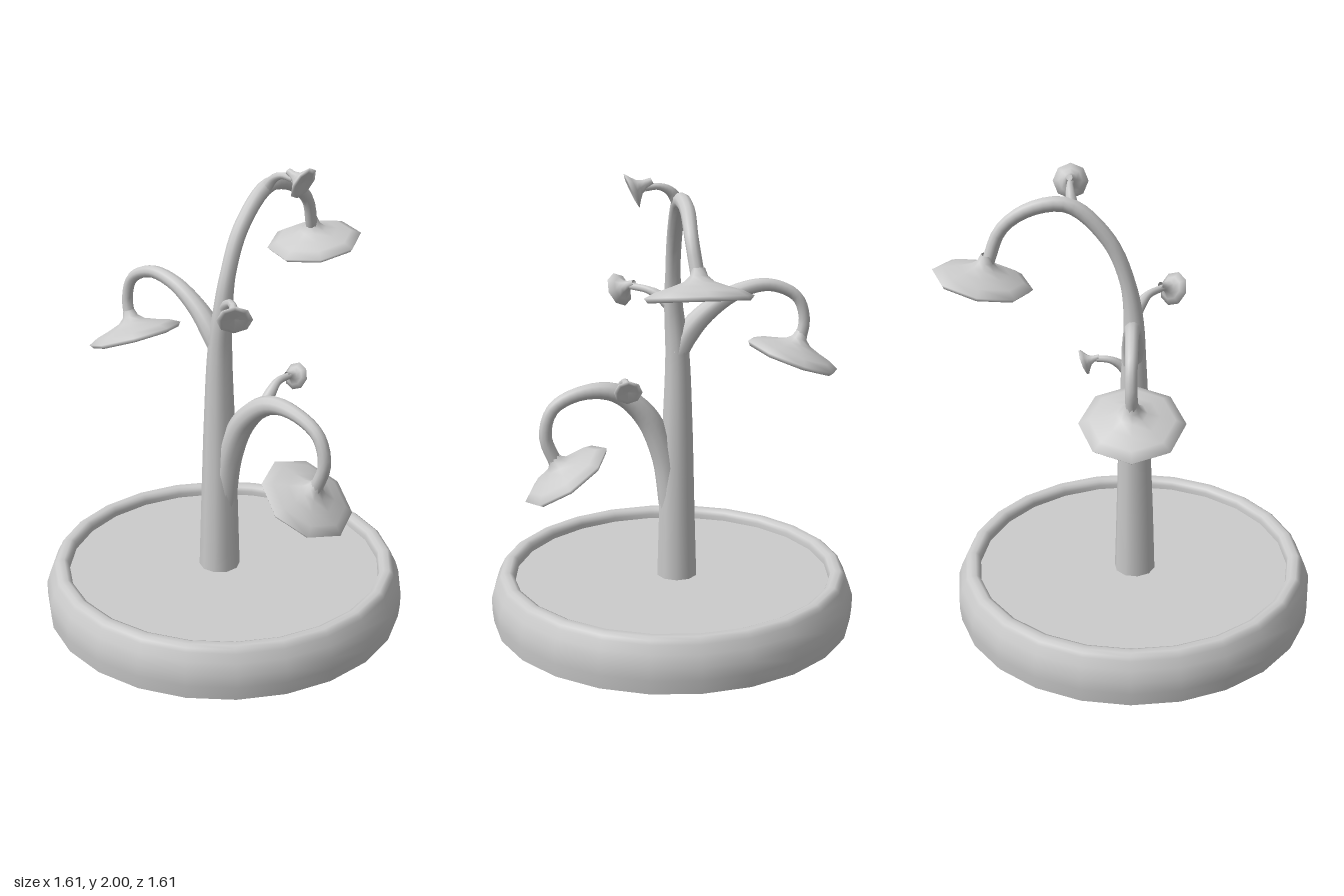
import * as THREE from 'three';

const material = new THREE.MeshStandardMaterial({ color: 0xcccccc, side: THREE.DoubleSide });
const v = (a) => new THREE.Vector3(...a);

function add(parent, name, geometry) {
  const mesh = new THREE.Mesh(geometry, material);
  mesh.name = name;
  parent.add(mesh);
  return mesh;
}

// Tube whose radius follows the listed radii, given as [x, y, z, radius] per point
function taperedTube(points, segments, sides = 10) {
  const curve = new THREE.CatmullRomCurve3(points.map((p) => v(p.slice(0, 3))));
  const geometry = new THREE.TubeGeometry(curve, segments, 1, sides);
  const pos = geometry.attributes.position;
  const p = new THREE.Vector3();
  for (let i = 0; i <= segments; i++) {
    const centre = curve.getPointAt(i / segments);
    const t = curve.getUtoTmapping(i / segments) * (points.length - 1);
    const k = Math.min(Math.floor(t), points.length - 2);
    const radius = THREE.MathUtils.lerp(points[k][3], points[k + 1][3], t - k);
    for (let j = 0; j <= sides; j++) {
      const n = i * (sides + 1) + j;
      p.fromBufferAttribute(pos, n).sub(centre).multiplyScalar(radius).add(centre);
      pos.setXYZ(n, p.x, p.y, p.z);
    }
  }
  return geometry;
}

function lathe(profile, sides) {
  return new THREE.LatheGeometry(profile.map(([r, y]) => new THREE.Vector2(r, y)), sides);
}

// Eight-sided flower; its axis points from the opening towards the stalk
function flower(parent, name, profile, centre, axis, scale = 1) {
  const mesh = add(parent, name, lathe(profile, 8));
  mesh.position.set(...centre);
  mesh.quaternion.setFromUnitVectors(new THREE.Vector3(0, 1, 0), v(axis).normalize());
  mesh.scale.setScalar(scale);
}

export function createModel() {
  const group = new THREE.Group();

  // Round dish with a soft rim and sunken soil
  const pot = new THREE.Group();
  pot.name = 'pot';
  group.add(pot);
  add(pot, 'potWall', lathe([
    [0.8, 0], [0.806, 0.06], [0.806, 0.115], [0.79, 0.165], [0.772, 0.2], [0.765, 0.217],
    [0.75, 0.227], [0.725, 0.227], [0.708, 0.218], [0.702, 0.2], [0.702, 0.175],
  ], 24));
  add(pot, 'potBottom', new THREE.CircleGeometry(0.8, 24).rotateX(Math.PI / 2));
  add(pot, 'soil', new THREE.CircleGeometry(0.704, 24).rotateX(-Math.PI / 2).translate(0, 0.18, 0));

  // Trunk running on into the top arching branch
  add(group, 'trunk', taperedTube([
    [-0.02, 0.17, -0.012, 0.092], [-0.02, 0.5, -0.012, 0.082], [-0.02, 0.85, -0.015, 0.07],
    [-0.018, 1.2, -0.015, 0.054], [-0.005, 1.4, -0.005, 0.042], [0.018, 1.56, -0.018, 0.033],
    [0.075, 1.74, -0.07, 0.033], [0.19, 1.885, -0.18, 0.033], [0.3, 1.87, -0.295, 0.03],
    [0.39, 1.78, -0.38, 0.027], [0.42, 1.64, -0.432, 0.027],
  ], 56));

  // Side branches
  add(group, 'leftBackBranch', taperedTube([
    [-0.01, 1.2, -0.02, 0.045], [-0.05, 1.29, -0.05, 0.05], [-0.11, 1.38, -0.11, 0.042],
    [-0.2, 1.46, -0.2, 0.034], [-0.3, 1.485, -0.3, 0.027], [-0.385, 1.43, -0.385, 0.025],
    [-0.41, 1.33, -0.41, 0.024], [-0.4, 1.23, -0.395, 0.026],
  ], 32));
  add(group, 'frontBranch', taperedTube([
    [-0.005, 0.5, 0.0, 0.06], [0.025, 0.74, 0.025, 0.056], [0.085, 0.93, 0.085, 0.053],
    [0.18, 1.035, 0.175, 0.042], [0.28, 1.035, 0.28, 0.031], [0.365, 0.97, 0.365, 0.028],
    [0.39, 0.85, 0.39, 0.028], [0.358, 0.72, 0.358, 0.03],
  ], 36));

  // Thin twigs holding the buds
  add(group, 'topTwig', taperedTube([
    [0.18, 1.87, -0.17, 0.028], [0.215, 1.925, -0.15, 0.02], [0.25, 1.945, -0.12, 0.014],
    [0.29, 1.94, -0.08, 0.015],
  ], 12, 8));
  add(group, 'middleTwig', taperedTube([
    [0, 1.4, 0, 0.03], [0.01, 1.44, 0.05, 0.025], [0.022, 1.466, 0.11, 0.017],
    [0.025, 1.472, 0.2, 0.015],
  ], 12, 8));
  add(group, 'lowerTwig', taperedTube([
    [0.15, 1.0, 0.15, 0.032], [0.19, 1.07, 0.12, 0.025], [0.225, 1.105, 0.08, 0.017],
    [0.28, 1.11, 0.03, 0.014],
  ], 12, 8));

  // Wide drooping flowers, hollow underneath
  const bell = [
    [0, 0.022], [0.1, 0.012], [0.18, -0.008], [0.198, -0.018], [0.213, 0],
    [0.17, 0.022], [0.11, 0.04], [0.06, 0.058], [0.035, 0.08], [0.025, 0.11],
  ];
  flower(group, 'topFlower', bell, [0.435, 1.57, -0.45], [-0.15, 1, 0.15]);
  flower(group, 'leftBackFlower', bell, [-0.38, 1.17, -0.375], [-0.25, 1, -0.25]);
  flower(group, 'frontFlower', bell, [0.33, 0.67, 0.33], [0.45, 1, 0.45]);

  // Small trumpet buds
  const trumpet = [
    [0, 0.004], [0.055, -0.003], [0.075, 0], [0.05, 0.018], [0.03, 0.035], [0.019, 0.06], [0.014, 0.09],
  ];
  flower(group, 'topBud', trumpet, [0.33, 1.93, -0.045], [-0.64, 0.42, -0.64]);
  flower(group, 'middleBud', trumpet, [0.025, 1.45, 0.265], [0, 0.42, -0.9]);
  flower(group, 'lowerBud', trumpet, [0.312, 1.093, -0.005], [-0.66, 0.38, 0.64], 0.8);

  return group;
}
